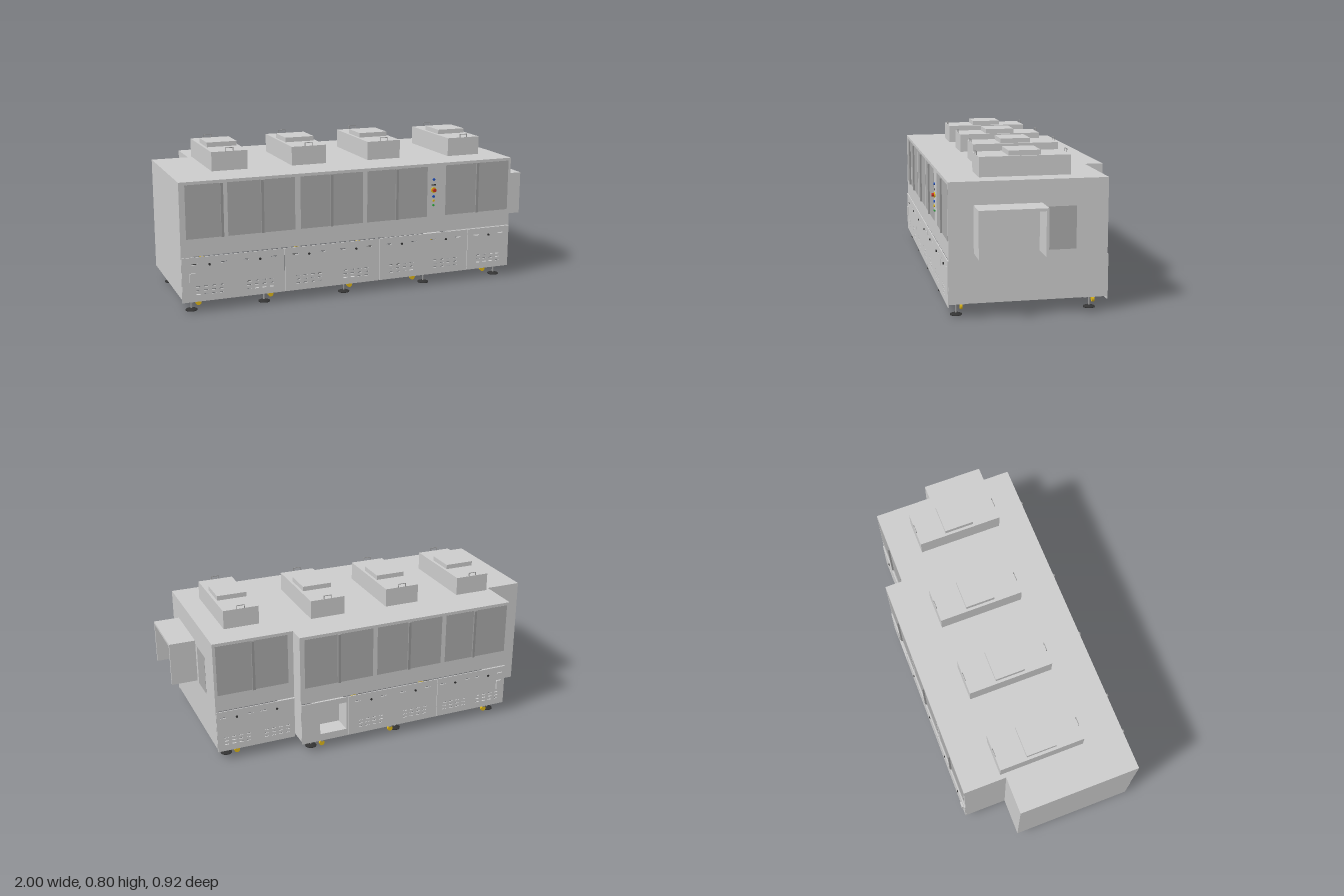
import * as THREE from 'three';

const mat = (color) => new THREE.MeshStandardMaterial({ color });
const grey = mat(0xcccccc), pane = mat(0xaaaaaa), barGrey = mat(0x999999), dark = mat(0x333333);
const yellow = mat(0xe0b818), red = mat(0xc83020), blue = mat(0x2050c0), green = mat(0x30a840);

export function createModel() {
  const root = new THREE.Group();
  root.name = 'processLine';

  const add = (name, geo, m = grey, parent = root) => {
    const mesh = new THREE.Mesh(geo, m);
    mesh.name = name;
    parent.add(mesh);
    return mesh;
  };
  // Box given by its low and high limits on each axis
  const box = (name, x0, x1, y0, y1, z0, z1, m = grey, parent = root) => {
    const mesh = add(name, new THREE.BoxGeometry(x1 - x0, y1 - y0, Math.abs(z1 - z0)), m, parent);
    mesh.position.set((x0 + x1) / 2, (y0 + y1) / 2, (z0 + z1) / 2);
    return mesh;
  };

  // Upper cabin: stepped footprint, its floor is the deck over the open base
  const outline = [[-1, 0.443], [0.86, 0.443], [0.86, -0.35], [0.43, -0.35], [0.43, -0.447],
    [-0.8, -0.447], [-0.8, -0.215], [-1, -0.215]];
  const foot = new THREE.Shape(outline.map(([x, z]) => new THREE.Vector2(x, -z)));
  const cabin = new THREE.ExtrudeGeometry(foot, { depth: 0.38, bevelEnabled: false });
  cabin.rotateX(-Math.PI / 2);
  add('cabin', cabin).position.y = 0.29;

  // Plain base walls at the ends and steps
  const t = 0.006;
  box('endWallLeft', 0.86 - t, 0.86, 0.07, 0.29, -0.35, 0.443);
  box('endWallRight', -1, -1 + t, 0.07, 0.29, -0.215, 0.443);
  box('stepWallRight', -0.8, -0.8 + t, 0.07, 0.29, -0.447, -0.215);
  box('stepWallBack', -1, -0.8, 0.07, 0.29, -0.215, -0.215 + t);
  box('stepWallLeft', 0.43 - t, 0.43, 0.07, 0.29, -0.447, -0.35);

  // Service panel in the xy plane with pierced slots
  const servicePanel = (x0, x1, z, centers, opening) => {
    const g = 0.0015;
    const rect = (P, a, b, c, d) => {
      const p = new P();
      p.moveTo(a, c); p.lineTo(b, c); p.lineTo(b, d); p.lineTo(a, d); p.closePath();
      return p;
    };
    const shape = rect(THREE.Shape, x0 + g, x1 - g, 0.055, 0.286);
    const hole = (a, b, c, d) => {
      if (a > x0 + 0.01 && b < x1 - 0.01) shape.holes.push(rect(THREE.Path, a, b, c, d));
    };
    for (const c of centers) {
      for (const s of [-1, 1]) hole(c + s * 0.075 - 0.016, c + s * 0.075 + 0.016, 0.247, 0.253);
      for (let i = 0; i < 4; i++) {
        for (let j = 0; j < 3; j++) {
          const x = c + (i - 1.5) * 0.04, y = 0.09 + j * 0.02;
          hole(x - 0.011, x + 0.011, y, y + 0.005);
        }
      }
    }
    if (opening) hole(...opening);
    const geo = new THREE.ExtrudeGeometry(shape, { depth: t, bevelEnabled: false });
    add('servicePanel', geo).position.z = z > 0 ? z - t : z;
    // Turn latches
    for (const c of centers) {
      const latch = add('latch', new THREE.CylinderGeometry(0.006, 0.006, 0.006, 12), dark);
      latch.rotation.x = Math.PI / 2;
      latch.position.set(c, 0.245, z + Math.sign(z) * 0.002);
    }
  };
  const seams = [-1, -0.46, 0.07, 0.6, 0.86];
  const latches = Array.from({ length: 7 }, (_, i) => -0.857 + i * 0.2645);
  for (let i = 0; i < 4; i++) {
    servicePanel(seams[i], seams[i + 1], 0.448,
      latches.filter((x) => x > seams[i] && x < seams[i + 1]));
  }
  servicePanel(0.43, 0.86, -0.355, [0.53, 0.75]);
  servicePanel(0.16, 0.43, -0.452, [], [0.175, 0.325, 0.095, 0.255]);
  servicePanel(-0.37, 0.16, -0.452, [0.03, -0.235]);
  servicePanel(-0.8, -0.37, -0.452, [-0.48, -0.69]);

  // Connection niche in the back wall
  const niche = new THREE.Group();
  niche.name = 'niche';
  root.add(niche);
  box('nicheBack', 0.17, 0.33, 0.09, 0.26, -0.35, -0.345, grey, niche);
  box('nicheFloor', 0.17, 0.33, 0.09, 0.095, -0.446, -0.345, grey, niche);
  box('nicheTop', 0.17, 0.33, 0.255, 0.26, -0.446, -0.345, grey, niche);
  box('nicheSide', 0.17, 0.175, 0.09, 0.26, -0.446, -0.345, grey, niche);
  box('nicheSide', 0.325, 0.33, 0.09, 0.26, -0.446, -0.345, grey, niche);

  // Switch boxes
  box('switchBox', -0.96, -0.93, 0.15, 0.205, 0.445, 0.456);
  box('switchBox', -0.775, -0.745, 0.15, 0.205, -0.461, -0.449);

  // Door windows with upright handle bars: [x0, x1, bar x, wall z]
  const windows = [
    [-0.97, -0.78, -0.785, 0.443], [-0.755, -0.4, -0.575, 0.443], [-0.37, -0.025, -0.2, 0.443],
    [0, 0.35, 0.17, 0.443], [0.46, 0.845, 0.65, 0.443],
    [0.46, 0.845, 0.65, -0.35], [0.02, 0.405, 0.215, -0.447], [-0.385, -0.005, -0.19, -0.447],
    [-0.785, -0.41, -0.585, -0.447],
  ];
  for (const [x0, x1, bx, z] of windows) {
    const s = Math.sign(z);
    box('window', x0, x1, 0.38, 0.655, z - s * 0.002, z + s * 0.001, pane);
    box('windowBar', bx - 0.007, bx + 0.007, 0.38, 0.655, z, z + s * 0.01, barGrey);
  }
  box('endWindow', 0.858, 0.861, 0.32, 0.535, -0.19, -0.05, pane);

  // Operator buttons
  const button = (y, r, depth, m) => {
    const b = add('button', new THREE.CylinderGeometry(r, r, depth, 16), m);
    b.rotation.x = Math.PI / 2;
    b.position.set(0.387, y, 0.443 + depth / 2);
  };
  button(0.583, 0.007, 0.007, blue);
  button(0.525, 0.015, 0.006, yellow);
  button(0.525, 0.009, 0.018, red);
  button(0.49, 0.007, 0.007, blue);
  button(0.467, 0.006, 0.007, yellow);
  button(0.442, 0.006, 0.007, green);
  box('buttonPlate', 0.374, 0.4, 0.55, 0.556, 0.442, 0.445, dark);

  // Transfer hood on the left end, open below and outward
  box('hoodRoof', 0.86, 1, 0.541, 0.555, -0.018, 0.32);
  box('hoodSide', 0.86, 1, 0.32, 0.541, -0.018, -0.005);
  box('hoodSide', 0.86, 1, 0.32, 0.541, 0.307, 0.32);

  // Roof filter units with caps and lifting handles
  for (const [cx, cz] of [[-0.68, -0.008], [-0.245, -0.008], [0.19, -0.008], [0.652, 0.043]]) {
    const unit = new THREE.Group();
    unit.name = 'roofUnit';
    unit.position.set(cx, 0.67, cz);
    root.add(unit);
    box('unitBody', -0.096, 0.096, 0, 0.1, -0.231, 0.231, grey, unit);
    box('unitCap', -0.081, 0.081, 0.1, 0.125, -0.081, 0.081, grey, unit);
    for (const z of [-0.229, 0.229]) {
      box('handleGrip', -0.022, 0.022, 0.116, 0.119, z - 0.0015, z + 0.0015, barGrey, unit);
      for (const x of [-0.0205, 0.0205]) {
        box('handlePost', x - 0.0015, x + 0.0015, 0.1, 0.118, z - 0.0015, z + 0.0015, barGrey, unit);
      }
    }
  }

  // Levelling feet, each paired with a caster under a mounting plate
  const footProfile = [[0, 0], [0.03, 0], [0.03, 0.004], [0.012, 0.011], [0, 0.012]]
    .map(([r, y]) => new THREE.Vector2(r, y));
  const padGeo = new THREE.LatheGeometry(footProfile, 20);
  const rodGeo = new THREE.CylinderGeometry(0.005, 0.005, 0.05, 10);
  const wheelGeo = new THREE.CylinderGeometry(0.015, 0.015, 0.012, 18).rotateX(Math.PI / 2);
  const supports = [
    [0.795, 0.4], [0.355, 0.4], [-0.115, 0.4], [-0.56, 0.4], [-0.945, 0.4],
    [0.355, 0.047], [-0.115, 0.047], [-0.56, 0.047], [-0.945, -0.107],
    [0.795, -0.277], [0.355, -0.387], [-0.145, -0.387], [-0.735, -0.387],
  ];
  for (const [x, z] of supports) {
    const s = new THREE.Group();
    s.name = 'support';
    s.position.set(x, 0, z);
    root.add(s);
    const dx = x > 0 ? -0.05 : 0.045;
    add('footPad', padGeo, dark, s);
    add('footRod', rodGeo, barGrey, s).position.y = 0.034;
    add('casterWheel', wheelGeo, yellow, s).position.set(dx, 0.025, -0.034);
    box('casterFork', dx - 0.007, dx + 0.007, 0.036, 0.058, -0.044, -0.024, barGrey, s);
    box('mountPlate', dx / 2 - 0.055, dx / 2 + 0.055, 0.058, 0.063, -0.057, 0.035, grey, s);
  }

  return root;
}
